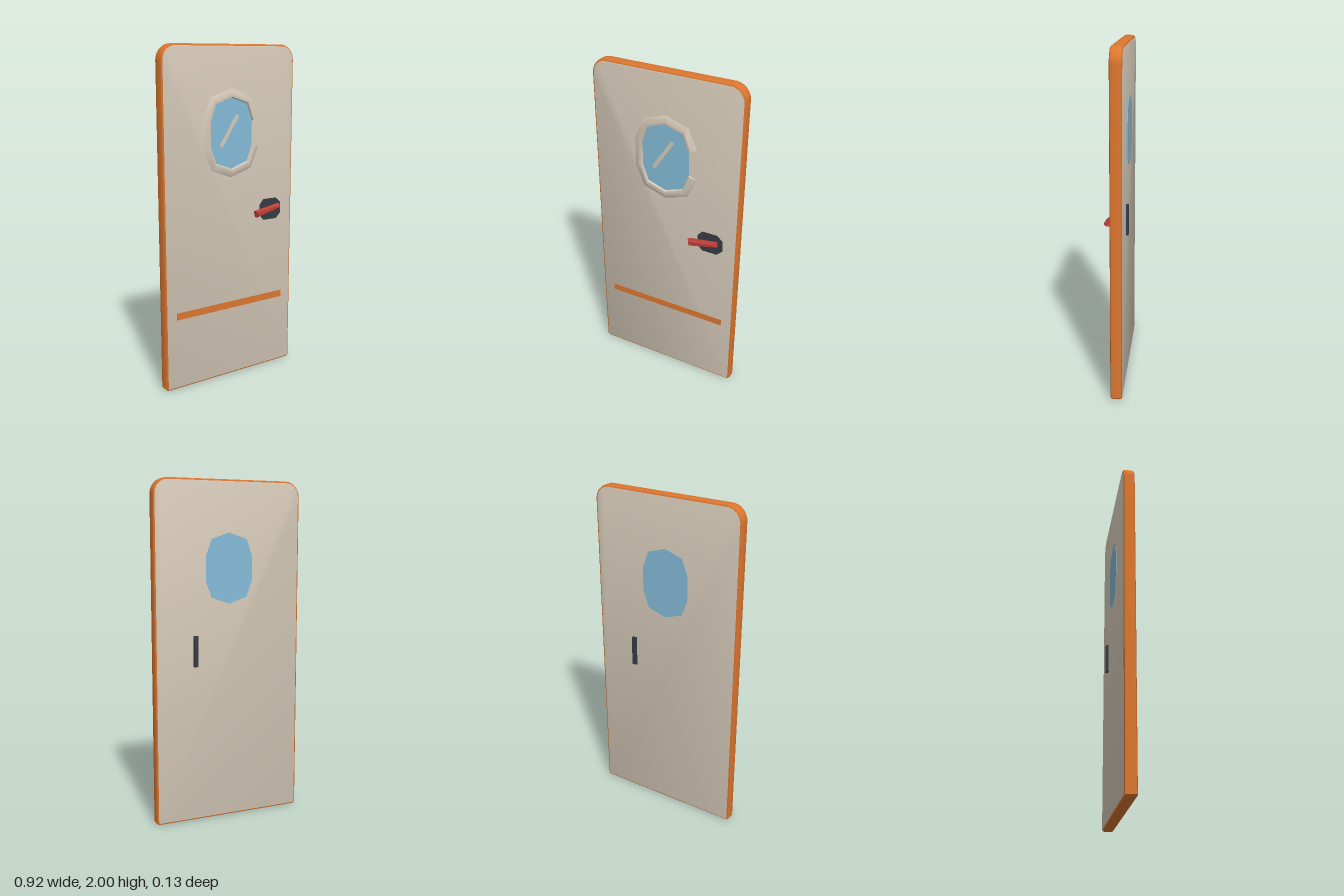
import * as THREE from 'three';
import { toCreasedNormals } from 'three/addons/utils/BufferGeometryUtils.js';

const FRONT = 0.025, BACK = -0.043;

function material(name, color, side = THREE.FrontSide) {
  const m = new THREE.MeshStandardMaterial({ color, side });
  m.name = name;
  return m;
}

function polygon(points) {
  return new THREE.Shape(points.map(([x, y]) => new THREE.Vector2(x, y)));
}

// Ten-sided window outline, measured from its centre, clockwise from the top
const HALF = [[0, 0.205], [0.11, 0.168], [0.146, 0.07], [0.146, -0.07], [0.11, -0.168], [0, -0.205]];
const WINDOW = [...HALF, ...HALF.slice(1, -1).reverse().map(([x, y]) => [-x, y])];
const WINDOW_Y = 1.495;

// Raised frame: a profile swept round the outline, open along the right edge
function frameGeometry() {
  const profile = [[0, 0], [0.004, 0.012], [0.02, 0.015], [0.052, 0]]; // outward, forward
  const start = 3, count = WINDOW.length, n = profile.length;
  const positions = [], index = [];
  for (let i = 0; i < count; i++) {
    const [x, y] = WINDOW[(start + i) % count];
    const length = Math.hypot(x, y);
    for (const [out, z] of profile) {
      positions.push(x + (x / length) * out, y + (y / length) * out, z);
    }
  }
  for (let i = 0; i < count - 1; i++) {
    for (let j = 0; j < n - 1; j++) {
      const a = i * n + j, b = a + n;
      index.push(a, b, a + 1, b, b + 1, a + 1);
    }
  }
  // Close the two ends
  const e = (count - 1) * n;
  index.push(0, 1, 2, 0, 2, 3, e, e + 2, e + 1, e, e + 3, e + 2);
  const geometry = new THREE.BufferGeometry();
  geometry.setAttribute('position', new THREE.Float32BufferAttribute(positions, 3));
  geometry.setIndex(index);
  return toCreasedNormals(geometry, 0.7);
}

export function createModel() {
  const model = new THREE.Group();
  model.name = 'door';

  const cream = material('cream panel', 0xd6cab9);
  const creamTrim = material('cream trim', 0xd6cab9, THREE.DoubleSide);
  const orange = material('orange edge', 0xdc762f);
  const blue = material('blue glass', 0x84bcd8);
  const dark = material('dark metal', 0x363c44);
  const red = material('red lever', 0xbe3f38);

  function add(name, geometry, mat, x = 0, y = 0, z = 0) {
    const mesh = new THREE.Mesh(geometry, mat);
    mesh.name = name;
    mesh.position.set(x, y, z);
    model.add(mesh);
    return mesh;
  }
  const plate = (points, depth) =>
    new THREE.ExtrudeGeometry(polygon(points), { depth, bevelEnabled: false });

  // Slab: cream faces, orange bevelled edge, round top corners
  const w = 0.46, r = 0.09, c = 0.012;
  const outline = new THREE.Shape();
  outline.moveTo(-w + c, 0);
  outline.lineTo(w - c, 0);
  outline.lineTo(w, c);
  outline.lineTo(w, 2 - r);
  outline.absarc(w - r, 2 - r, r, 0, Math.PI / 2);
  outline.lineTo(-w + r, 2);
  outline.absarc(-w + r, 2 - r, r, Math.PI / 2, Math.PI);
  outline.lineTo(-w, c);
  const bevel = 0.015;
  const slab = new THREE.ExtrudeGeometry(outline, {
    depth: FRONT - BACK - 2 * bevel, curveSegments: 5,
    bevelThickness: bevel, bevelSize: 0.011, bevelOffset: -0.011, bevelSegments: 2,
  });
  add('slab', toCreasedNormals(slab, 0.6), [cream, orange], 0, 0, BACK + bevel);

  // Window panes on both faces, frame and glint
  add('frontPane', plate(WINDOW, 0.004), blue, 0, WINDOW_Y, FRONT - 0.002);
  add('backPane', plate(WINDOW, 0.004), blue, 0, WINDOW_Y, BACK - 0.002);
  add('windowFrame', frameGeometry(), creamTrim, 0, WINDOW_Y, FRONT);
  const glint = add('glint', new THREE.BoxGeometry(0.215, 0.023, 0.004), cream, -0.016, 1.51, FRONT + 0.003);
  glint.rotation.z = Math.atan2(0.18, 0.12);

  // Kick stripe
  add('stripe', new THREE.BoxGeometry(0.77, 0.042, 0.004), orange, 0, 0.452, FRONT);

  // Front handle: eight-sided plate and slanted lever
  const rosette = [[0.045, 0.065], [-0.05, 0.065], [-0.08, 0.032], [-0.08, -0.032],
    [-0.047, -0.065], [0.047, -0.065], [0.08, -0.032], [0.08, 0.032]];
  add('handlePlate', plate(rosette, 0.005), dark, 0.29, 1.015, FRONT - 0.002);
  const bar = [[-0.092, -0.021], [0.092, -0.014], [0.092, 0.014], [-0.092, 0.021]];
  const lever = new THREE.ExtrudeGeometry(polygon(bar), {
    depth: 0.013, bevelThickness: 0.015, bevelSize: 0.008, bevelOffset: -0.008, bevelSegments: 1,
  });
  add('lever', lever, red, 0.254, 1.016, FRONT + 0.015).rotation.z = 0.2;

  // Back handle: upright bar
  add('backHandle', new THREE.BoxGeometry(0.026, 0.18, 0.017), dark, 0.214, 1.02, BACK - 0.0065);

  return model;
}
